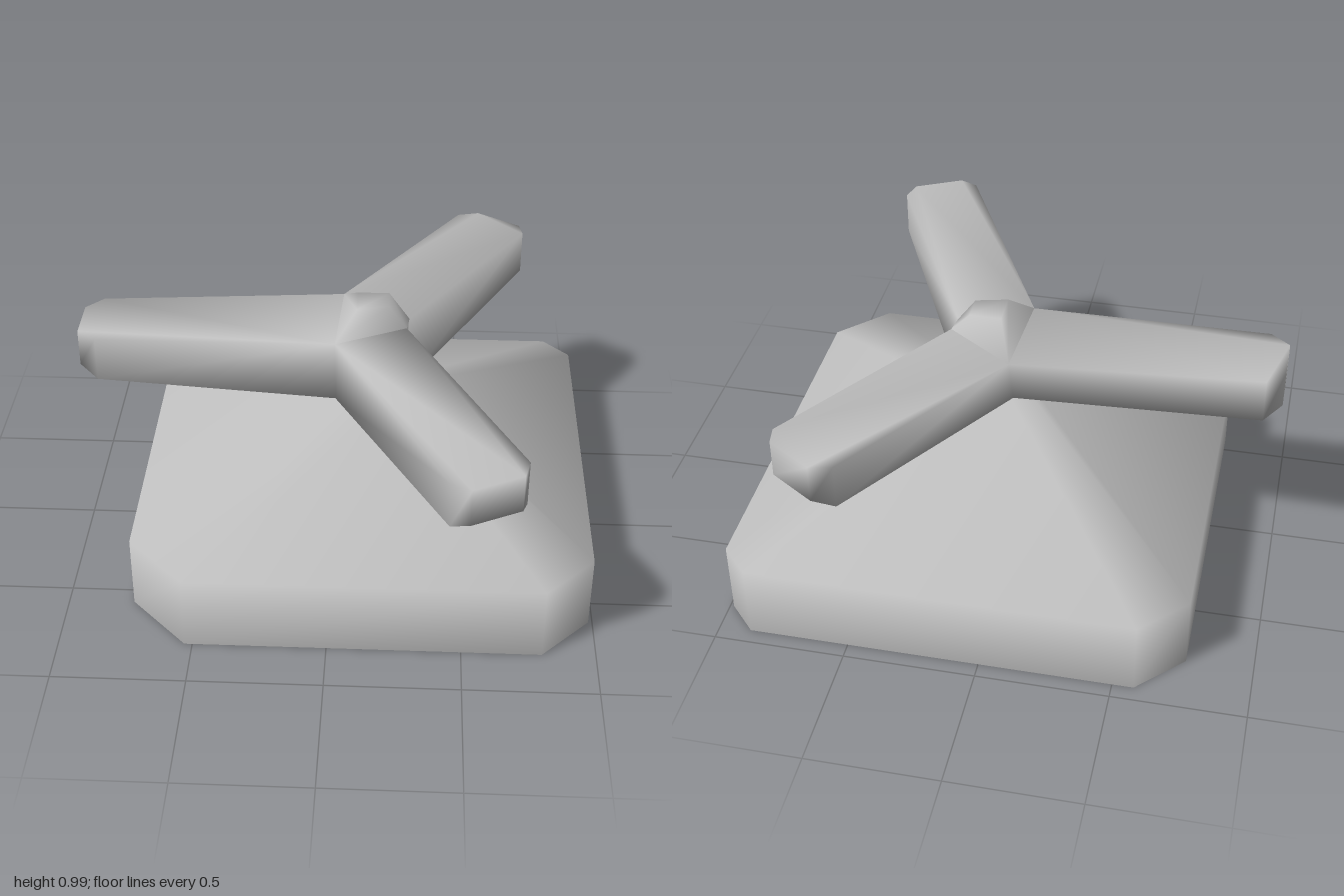
import * as THREE from 'three';

// Triangulate a flat outline of [x, z] points, facing up or down.
function fillOutline(points, offset, up, index) {
  const flat = points.map(([x, z]) => new THREE.Vector2(x, z));
  for (const [a, b, c] of THREE.ShapeUtils.triangulateShape(flat, [])) {
    const p = flat[a], q = flat[b], r = flat[c];
    const cross = (q.x - p.x) * (r.y - p.y) - (q.y - p.y) * (r.x - p.x);
    const facesUp = cross < 0;
    index.push(offset + a, ...(facesUp === up ? [offset + b, offset + c] : [offset + c, offset + b]));
  }
}

// Skin a stack of outlines (points [x, z, y]), listed from bottom to top.
function loft(rings, capBottom, capTop) {
  const n = rings[0].length;
  const positions = [];
  const index = [];
  rings.forEach(ring => ring.forEach(([x, z, y]) => positions.push(x, y, z)));
  for (let k = 0; k < rings.length - 1; k++) {
    for (let i = 0; i < n; i++) {
      const a = k * n + i, b = k * n + (i + 1) % n;
      index.push(a, a + n, b, b, a + n, b + n);
    }
  }
  if (capBottom) fillOutline(rings[0], 0, false, index);
  if (capTop) fillOutline(rings[rings.length - 1], n * (rings.length - 1), true, index);
  const geometry = new THREE.BufferGeometry();
  geometry.setAttribute('position', new THREE.Float32BufferAttribute(positions, 3));
  geometry.setIndex(index);
  geometry.computeVertexNormals();
  return geometry;
}

const atHeight = (outline, y) => outline.map(([x, z]) => [x, z, y]);

export function createModel() {
  const group = new THREE.Group();
  const gray = new THREE.MeshStandardMaterial({ color: 0xc0c0c0 });
  gray.name = 'light gray';
  const add = (name, geometry) => {
    const mesh = new THREE.Mesh(geometry, gray);
    mesh.name = name;
    group.add(mesh);
  };

  // Chamfered block tapering to a narrow neck
  const block = [
    [-0.75, -0.77], [-0.58, -0.94], [0.88, -0.94], [0.985, -0.83],
    [0.985, 0.61], [0.80, 0.80], [-0.53, 0.80], [-0.75, 0.57],
  ];
  const neck = [
    [0, -0.05], [0.05, -0.11], [0.24, -0.11], [0.28, -0.08],
    [0.28, -0.02], [0.24, 0.04], [0.05, 0.04], [0, 0],
  ];
  add('base', loft([atHeight(block, 0), atHeight(block, 0.295), atHeight(neck, 0.615)], false, true));

  // Flat underside
  const underside = new THREE.BufferGeometry();
  const index = [];
  fillOutline(block, 0, false, index);
  underside.setAttribute('position', new THREE.Float32BufferAttribute(block.flatMap(([x, z]) => [x, 0, z]), 3));
  underside.setIndex(index);
  underside.computeVertexNormals();
  add('underside', underside);

  // Three arms: each tip has four corners, the corners between arms meet the neck
  const tips = [
    [[-0.91, 0.11], [-0.985, 0.05], [-0.985, -0.13], [-0.92, -0.20]],
    [[0.48, -0.98], [0.565, -1.0], [0.735, -0.89], [0.747, -0.82]],
    [[0.70, 0.83], [0.68, 0.91], [0.50, 1.0], [0.43, 0.97]],
  ];
  const top = [
    [0, 0.10], ...tips[0], [0.02, -0.28], ...tips[1],
    [0.28, -0.10], [0.27, -0.03], ...tips[2],
  ];
  const tipBottom = tip => tip.map(([x, z], i) => [x, z, i === 1 || i === 2 ? 0.748 : 0.72]);
  const bottom = [
    [0, 0.04, 0.612], ...tipBottom(tips[0]), [0.04, -0.11, 0.612], ...tipBottom(tips[1]),
    [0.28, -0.09, 0.612], [0.27, -0.03, 0.612], ...tipBottom(tips[2]),
  ];
  add('arms', loft([bottom, atHeight(top, 0.895)], true, true));

  // Raised cap over the hub
  const capFoot = [[0, 0.10], [0.02, -0.28], [0.28, -0.10], [0.27, -0.03]];
  const capTop = [[0.08, 0], [0.08, -0.13], [0.20, -0.13], [0.20, -0.03]];
  add('hubCap', loft([atHeight(capFoot, 0.895), atHeight(capTop, 0.99)], false, true));

  return group;
}
